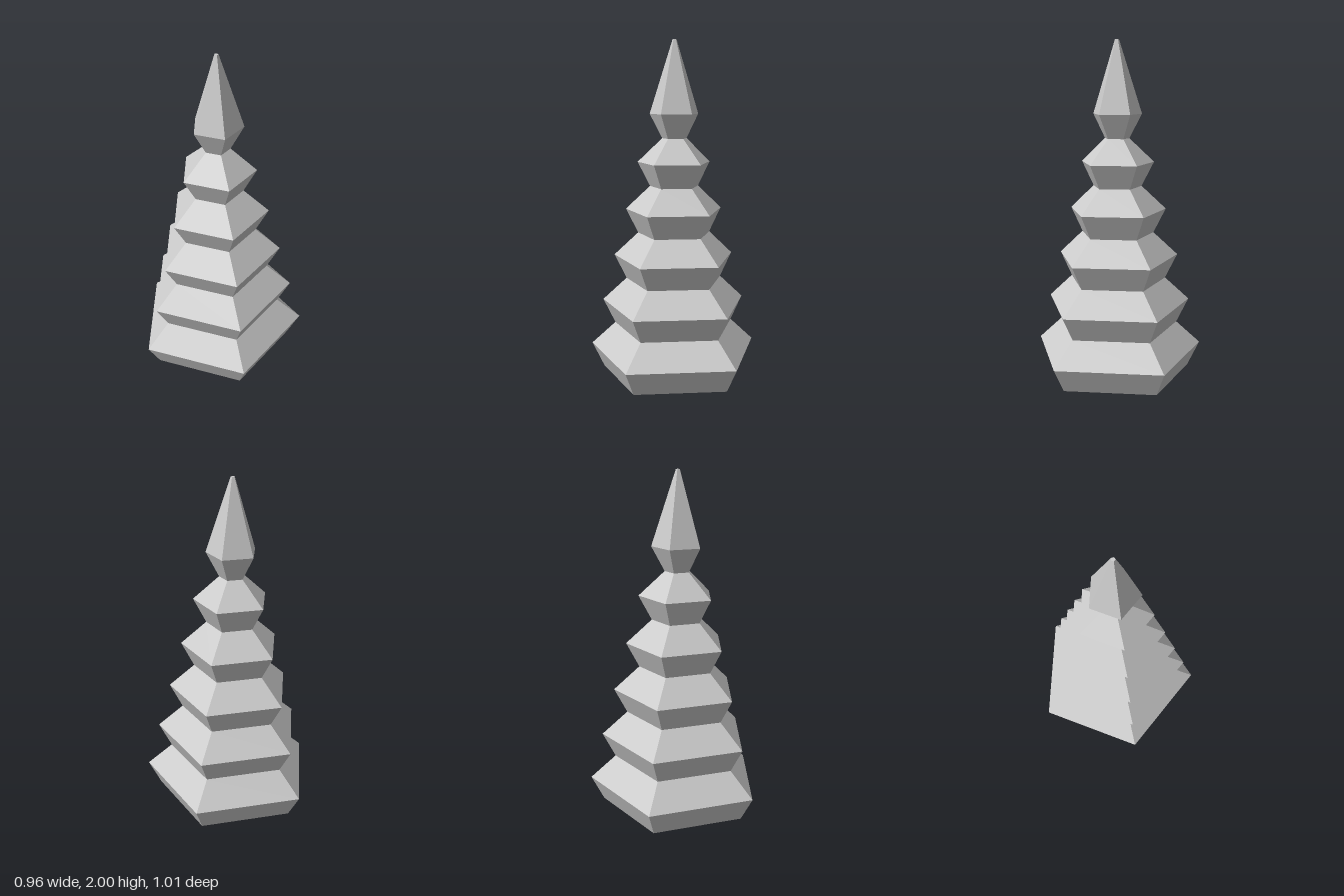
import * as THREE from 'three';

export function createModel() {
  const group = new THREE.Group();
  const material = new THREE.MeshStandardMaterial({ color: 0xcccccc, flatShading: true });

  const step = 2 / 14;    // height of one band
  const unit = 0.0759;    // radius change per band
  const tiers = 6;

  // Stepped profile: each tier flares out, then the next one starts further in
  const profile = [new THREE.Vector2(0, 0)];
  for (let i = 0; i < tiers; i++) {
    profile.push(new THREE.Vector2(unit * (tiers - i), step * 2 * i));
    profile.push(new THREE.Vector2(unit * (tiers + 1 - i), step * (2 * i + 1)));
  }
  // Blunt spire tip
  profile.push(new THREE.Vector2(0.012, 2), new THREE.Vector2(0, 2));

  // Five-sided body with one corner pointing to +x
  const tree = new THREE.Mesh(new THREE.LatheGeometry(profile, 5, Math.PI / 2), material);
  tree.name = 'tieredTree';
  tree.position.x = -0.051;
  group.add(tree);

  return group;
}
